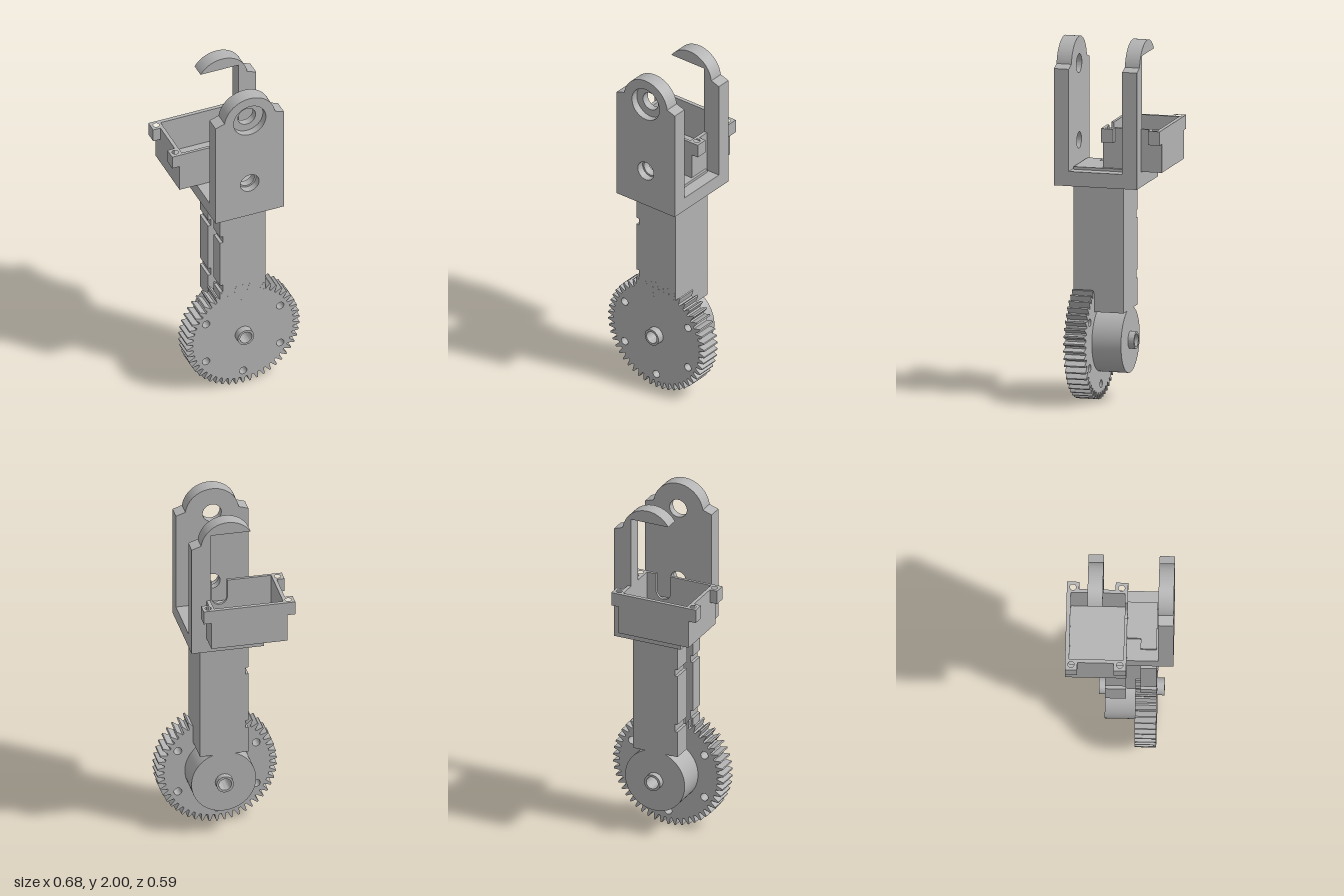
import * as THREE from 'three';
import { toCreasedNormals } from 'three/addons/utils/BufferGeometryUtils.js';

const CX = 0.007; // shared axis of gear, holes and rounded ears

export function createModel() {
  const model = new THREE.Group();
  const grey = new THREE.MeshStandardMaterial({ color: 0xb3b3b3 });
  grey.name = 'plain grey';

  const add = (name, geometry, parent = model) => {
    const mesh = new THREE.Mesh(geometry, grey);
    mesh.name = name;
    parent.add(mesh);
    return mesh;
  };
  const group = (name) => {
    const g = new THREE.Group();
    g.name = name;
    model.add(g);
    return g;
  };
  // Box given by its limits
  const box = (name, x0, x1, y0, y1, z0, z1, parent) => {
    const g = new THREE.BoxGeometry(x1 - x0, y1 - y0, z1 - z0);
    g.translate((x0 + x1) / 2, (y0 + y1) / 2, (z0 + z1) / 2);
    return add(name, g, parent);
  };
  const extrude = (shape, depth) => new THREE.ExtrudeGeometry(shape, { depth, bevelEnabled: false, curveSegments: 32 });
  // Front outline extruded between two z limits
  const slab = (name, shape, z0, z1, parent) =>
    add(name, toCreasedNormals(extrude(shape, z1 - z0).translate(0, 0, z0), 0.5), parent);
  // Plan outline (x, z) extruded between two heights
  const layer = (name, shape, y0, y1, parent) =>
    add(name, toCreasedNormals(extrude(shape, y1 - y0).rotateX(Math.PI / 2).translate(0, y1, 0), 0.5), parent);
  const poly = (pts) => new THREE.Shape(pts.map(([x, y]) => new THREE.Vector2(x, y)));
  const circle = (x, y, r) => new THREE.Path().absarc(x, y, r, 0, Math.PI * 2, true);
  const disc = (x, y, r) => new THREE.Shape().absarc(x, y, r, 0, Math.PI * 2, false);

  // Spur gear with a ring of lightening holes
  const gearY = 0.335, teeth = 50, gearPts = [];
  for (let i = 0; i < teeth; i++) {
    for (const [r, f] of [[0.295, -0.36], [0.316, -0.22], [0.333, -0.1], [0.333, 0.1], [0.316, 0.22], [0.295, 0.36]]) {
      const a = ((i + f) / teeth) * Math.PI * 2 - Math.PI / 2;
      gearPts.push([CX + r * Math.cos(a), gearY + r * Math.sin(a)]);
    }
  }
  const gear = poly(gearPts);
  gear.holes.push(circle(CX, gearY, 0.035));
  for (let i = 0; i < 6; i++) {
    const a = Math.PI / 6 + (i * Math.PI) / 3;
    gear.holes.push(circle(CX + 0.252 * Math.cos(a), gearY + 0.252 * Math.sin(a), 0.022));
  }
  add('gear', extrude(gear, 0.117).translate(0, 0, 0.083));

  // Hub behind the gear and the hollow axle through both
  for (const [name, r, z0, z1] of [['hub', 0.18, -0.082, 0.083], ['axle', 0.048, -0.117, 0.24]]) {
    const s = disc(CX, gearY, r);
    s.holes.push(circle(CX, gearY, 0.035));
    slab(name, s, z0, z1);
  }

  // Arm with two cable notches on one side and a groove along it
  const arm = group('arm');
  const armShape = (bottom) => poly([
    [0.14, bottom], [0.14, 1.303], [-0.13, 1.303],
    [-0.13, 1.03], [-0.113, 1.03], [-0.113, 0.99], [-0.13, 0.99],
    [-0.13, 0.7], [-0.113, 0.7], [-0.113, 0.655], [-0.13, 0.655], [-0.13, bottom],
  ]);
  slab('armBack', armShape(0.505), -0.082, 0.032, arm);
  box('armCore', -0.07, 0.14, 0.505, 1.303, 0.032, 0.112, arm);
  slab('armFront', armShape(0.53), 0.112, 0.1995, arm);

  // Fork: base, pierced front plate, and a hooked rear post
  const fork = group('fork');
  box('forkBase', -0.195, 0.208, 1.207, 1.288, -0.178, 0.292, fork);
  const earY = 1.85, earR = 0.15;
  const plate = (topHole, lowHole) => {
    const s = new THREE.Shape();
    s.moveTo(-0.195, 1.207);
    s.lineTo(0.208, 1.207);
    s.lineTo(0.208, 1.853);
    s.lineTo(CX + earR * Math.cos(0.14), earY + earR * Math.sin(0.14));
    s.absarc(CX, earY, earR, 0.14, Math.PI - 0.14, false);
    s.lineTo(-0.195, 1.853);
    s.holes.push(circle(CX, earY, topHole), circle(CX, 1.425, lowHole));
    return s;
  };
  slab('frontPlateInner', plate(0.052, 0.045), 0.208, 0.25, fork);
  slab('frontPlateOuter', plate(0.095, 0.055), 0.25, 0.292, fork);

  const tip = Math.PI - Math.asin(0.08 / earR);
  const hook = new THREE.Shape();
  hook.moveTo(0.104, 1.207);
  hook.lineTo(0.208, 1.207);
  hook.lineTo(0.208, 1.853);
  hook.lineTo(CX + earR * Math.cos(0.14), earY + earR * Math.sin(0.14));
  hook.absarc(CX, earY, earR, 0.14, tip, false);
  hook.lineTo(0.104, earY + 0.08);
  slab('rearHook', hook, -0.178, -0.095, fork);

  // Open motor tray with four screw tabs and a shaft notch
  const tray = group('motorTray');
  const X0 = -0.3, X1 = 0.125, Z0 = -0.295, Z1 = 0.038;
  const notch0 = CX - 0.043, notch1 = CX + 0.043;
  box('trayFloor', X0, X1, 1.292, 1.315, Z0, Z1, tray);
  const inner = [[notch0, 0.022], [-0.28, 0.022], [-0.28, -0.273], [0.105, -0.273], [0.105, 0.022], [notch1, 0.022]];
  layer('trayWalls', poly([[notch1, Z1], [X1, Z1], [X1, Z0], [X0, Z0], [X0, Z1], [notch0, Z1], ...inner]), 1.315, 1.45, tray);
  const rim = poly([
    [notch1, Z1], [0.167, Z1], [0.167, -0.03], [X1, -0.03], [X1, -0.228], [0.167, -0.228], [0.167, Z0],
    [-0.343, Z0], [-0.343, -0.228], [X0, -0.228], [X0, -0.03], [-0.343, -0.03], [-0.343, Z1], [notch0, Z1], ...inner,
  ]);
  for (const x of [-0.311, 0.135]) for (const z of [-0.262, 0.003]) rim.holes.push(circle(x, z, 0.017));
  layer('trayRim', rim, 1.45, 1.527, tray);
  const cradle = new THREE.Shape();
  cradle.moveTo(notch0, 1.315);
  cradle.lineTo(notch1, 1.315);
  cradle.lineTo(notch1, 1.425);
  cradle.absarc(CX, 1.425, 0.043, 0, Math.PI, true);
  slab('shaftCradle', cradle, 0.022, Z1, tray);

  return model;
}
